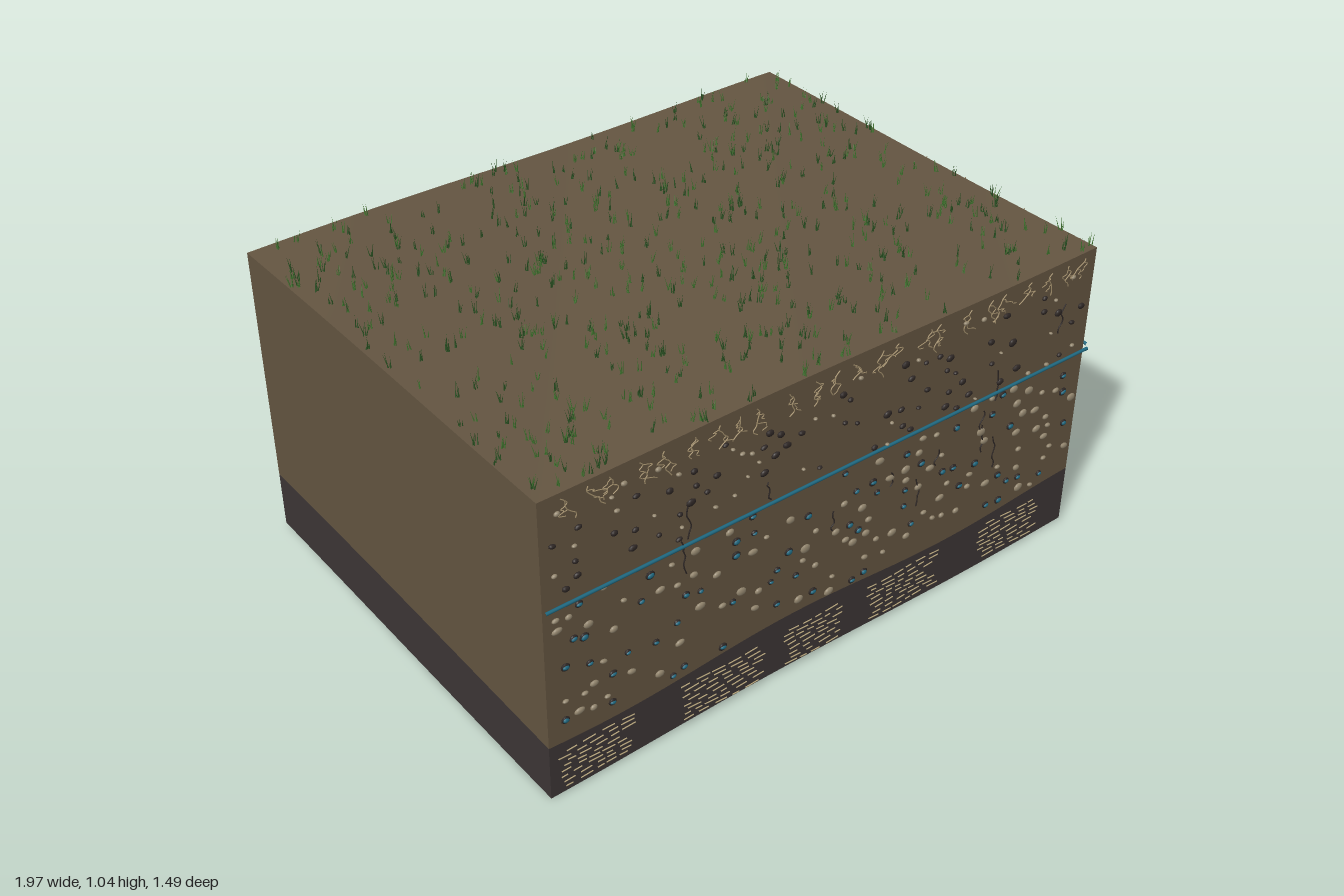
import * as THREE from 'three';
import { mergeGeometries } from 'three/addons/utils/BufferGeometryUtils.js';

const W = 1.943, D = 1.46, CX = 0.004, CZ = -0.01;

function material(name, color) {
  const m = new THREE.MeshStandardMaterial({ color });
  m.name = name;
  return m;
}

// Height rules for the three undulating surfaces
const topY = (x, z) => 0.994 + 0.004 * Math.sin(4 * x + 3 * z);
const rockY = (x, z) => 0.19 + 0.015 * Math.cos(5.2 * (x + 0.15) - 1.6 * (0.72 - z));
const baseY = (x, z) => 0.008 + 0.007 * Math.sin(4 * x + 2 * z + 1);

// Block whose top and bottom follow height rules
function layer(lower, upper) {
  const g = new THREE.BoxGeometry(W, 1, D, 40, 1, 30);
  g.translate(CX, 0, CZ);
  const p = g.attributes.position;
  for (let i = 0; i < p.count; i++) {
    const x = p.getX(i), z = p.getZ(i);
    p.setY(i, p.getY(i) > 0 ? upper(x, z) : lower(x, z));
  }
  g.computeVertexNormals();
  return g;
}

// Thin round bar lying along x
const bar = (length, r) => new THREE.CylinderGeometry(r, r, length, 8, 1, true).rotateZ(Math.PI / 2);

export function createModel() {
  const model = new THREE.Group();
  model.name = 'soilBlock';
  const soil = material('soil brown', 0x645541);
  const rock = material('bedrock grey', 0x3d3636);
  const base = material('base black', 0x2a2724);
  const water = material('water teal', 0x1f6a82);
  const stone = material('stone beige', 0x94876f);
  const humus = material('humus dark', 0x2e2725);
  const root = material('root tan', 0xa8946f);
  const bed = material('bedding cream', 0xb8a67c);
  const leaf = material('grass green', 0x41752f);
  const shade = material('grass dark green', 0x2a5222);

  let seed = 7;
  const rnd = (a = 0, b = 1) => {
    seed = (seed * 16807) % 2147483647;
    return a + (b - a) * seed / 2147483647;
  };
  const add = (parent, name, geometry, mat) => {
    const m = new THREE.Mesh(geometry, mat);
    m.name = name;
    parent.add(m);
  };

  // Soil body, and bedrock with a black underside
  add(model, 'soilBody', layer(rockY, topY), soil);
  add(model, 'bedrock', layer(baseY, rockY), [rock, rock, rock, base, rock, rock]);

  const blob = (x, y, z, rx, ry, rz) =>
    new THREE.SphereGeometry(1, 10, 6).scale(rx, ry, rz).rotateZ(rnd(-0.25, 0.25)).translate(x, y, z);

  // Wandering strand running downwards, kept within the face
  const strand = (x, y, length, r, sway, limit) => {
    const pts = [];
    for (let i = 0; i <= 6; i++) {
      pts.push(new THREE.Vector3(x, y - length * i / 6, 0));
      x = THREE.MathUtils.clamp(x + rnd(-sway, sway), -limit, limit);
    }
    return { pts, geometry: new THREE.TubeGeometry(new THREE.CatmullRomCurve3(pts), 12, r, 8) };
  };

  // Details of one cut face, drawn in its own plane
  function cutFace(name, width, c) {
    const face = new THREE.Group();
    face.name = name;
    const half = width / 2, limit = half - 0.01;
    const spots = [];
    const spot = (y0, y1) => {
      let x, y, tries = 0;
      do {
        x = rnd(-half + 0.03, half - 0.03);
        y = rnd(y0, y1);
      } while (++tries < 30 && spots.some(s => Math.hypot(s[0] - x, s[1] - y) < 0.034));
      spots.push([x, y]);
      return [x, y];
    };

    // Stones, humus crumbs and water-filled pores
    const stones = [], crumbs = [], pores = [];
    const scatter = (count, y0, y1, list, min, max) => {
      for (let i = 0; i < count; i++) {
        const [x, y] = spot(y0, y1), r = rnd(min, max);
        list.push(blob(x, y, 0, r, r * rnd(0.55, 0.8), 0.006));
        if (list === pores) crumbs.push(blob(x, y, -0.002, r * 1.3, r * 1.1, 0.005));
      }
    };
    scatter(c.stones, 0.23, 0.65, stones, 0.009, 0.018);
    scatter(c.pores, 0.22, 0.64, pores, 0.008, 0.012);
    scatter(c.crumbs, 0.67, 0.92, crumbs, 0.008, 0.016);
    scatter(c.grit, 0.66, 0.95, stones, 0.005, 0.01);
    add(face, 'stones', mergeGeometries(stones), stone);
    add(face, 'waterPores', mergeGeometries(pores), water);

    // Dark vertical cracks
    const cracks = [];
    for (let i = 0; i < c.cracks; i++) {
      cracks.push(strand(rnd(-half + 0.1, half - 0.1), rnd(0.4, 0.95), rnd(0.05, 0.12), 0.002, 0.011, limit).geometry);
    }
    add(face, 'humusCrumbs', mergeGeometries(crumbs), humus);
    add(face, 'cracks', mergeGeometries(cracks), humus);

    // Branching roots below the grass
    const roots = [];
    for (let i = 0; i < c.roots; i++) {
      const x = -half + width * (i + rnd(0.2, 0.8)) / c.roots;
      const main = strand(x, 0.985, c.rootLength * rnd(0.5, 1), 0.0016, 0.018, limit);
      roots.push(main.geometry);
      for (const k of [1, 3]) {
        const p = main.pts[k];
        roots.push(strand(p.x, p.y, c.rootLength * rnd(0.2, 0.4), 0.0013, 0.018, limit).geometry);
      }
    }
    add(face, 'roots', mergeGeometries(roots), root);

    // Water table line
    add(face, 'waterTable', bar(width, 0.005).translate(0, 0.655, 0.002), water);

    // Broken bedding lines in the bedrock
    const beds = [];
    for (const [from, to] of c.beds) {
      for (let row = 0; row < 8; row++) {
        let x = from + rnd(0, 0.04);
        while (x < to - 0.02) {
          const len = rnd(0.02, c.dash);
          const y = 0.038 + row * 0.0178 + 0.003 * Math.sin(x * 22 + row);
          beds.push(bar(len, 0.0018).rotateZ(0.066 * Math.cos(x * 22 + row)).translate(x + len / 2, y, 0));
          x += len + rnd(0.006, 0.025);
        }
      }
    }
    add(face, 'beddingLines', mergeGeometries(beds), bed);
    model.add(face);
    return face;
  }

  const front = cutFace('frontFaceDetails', W, {
    stones: 95, pores: 60, crumbs: 62, grit: 34, cracks: 12, roots: 24, rootLength: 0.09, dash: 0.05,
    beds: [[-0.96, -0.72], [-0.56, -0.27], [-0.19, 0.04], [0.13, 0.4], [0.58, 0.84]],
  });
  front.position.set(CX, 0, 0.734);

  const side = cutFace('leftFaceDetails', D, {
    stones: 56, pores: 38, crumbs: 36, grit: 24, cracks: 9, roots: 7, rootLength: 0.26, dash: 0.07,
    beds: [[-0.69, -0.36], [-0.3, 0.11], [0.15, 0.7]],
  });
  side.rotation.y = Math.PI / 2;
  side.position.set(0.99, 0, CZ);

  // Grass tufts, each a cluster of slender leaning blades
  const blades = [[], []];
  for (let t = 0; t < 640; t++) {
    const cx = CX + rnd(-0.965, 0.965), cz = rnd(-0.73, 0.71);
    for (let b = 0; b < 4; b++) {
      const h = rnd(0.018, 0.05);
      const x = cx + rnd(-0.005, 0.005), z = cz + rnd(-0.005, 0.005);
      blades[t % 2].push(new THREE.ConeGeometry(0.0018, h, 8, 1, true).translate(0, h / 2, 0)
        .rotateX(rnd(-0.25, 0.25)).rotateZ(rnd(-0.25, 0.25)).translate(x, topY(x, z) - 0.002, z));
    }
  }
  add(model, 'grass', mergeGeometries(blades[0]), leaf);
  add(model, 'darkGrass', mergeGeometries(blades[1]), shade);

  return model;
}
